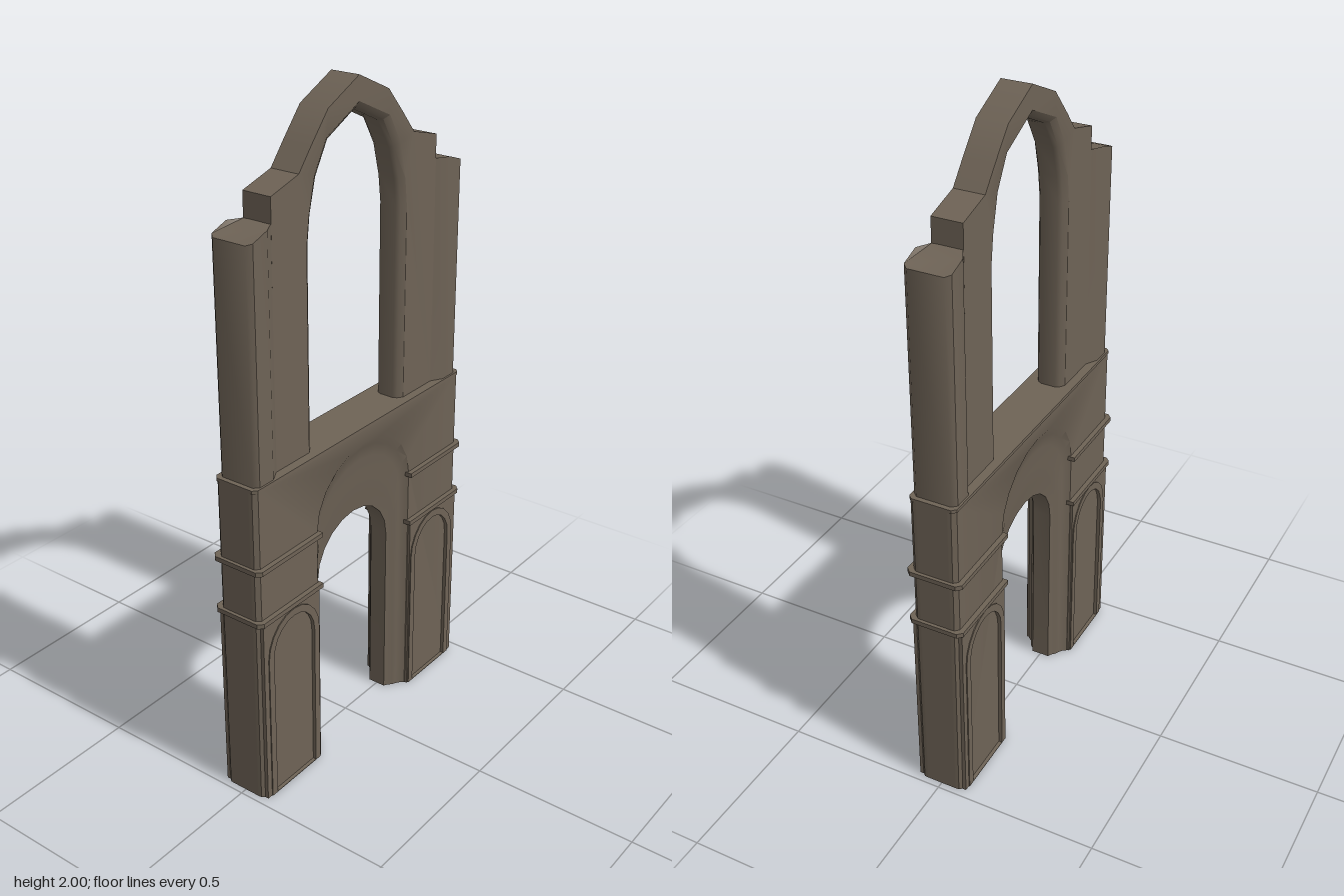
import * as THREE from 'three';
import { toCreasedNormals } from 'three/addons/utils/BufferGeometryUtils.js';

const stone = new THREE.MeshStandardMaterial({ color: 0x6e6356, roughness: 0.9 });

function add(parent, name, geometry, crease = 0.6) {
  const mesh = new THREE.Mesh(toCreasedNormals(geometry, crease), stone);
  mesh.name = name;
  parent.add(mesh);
  return mesh;
}

// Joins counter-clockwise outlines, ordered back to front, and caps both ends.
function loft(slices) {
  const n = slices[0].points.length;
  const pos = slices.flatMap(s => s.points.flatMap(([x, y]) => [x, y, s.z]));
  const index = [];
  for (let k = 0; k < slices.length - 1; k++) {
    for (let i = 0; i < n; i++) {
      const a = k * n + i, b = k * n + (i + 1) % n;
      index.push(a, b, b + n, a, b + n, a + n);
    }
  }
  const cap = (k, flip) => {
    const contour = slices[k].points.map(p => new THREE.Vector2(p[0], p[1]));
    for (const [a, b, c] of THREE.ShapeUtils.triangulateShape(contour, [])) {
      index.push(k * n + a, k * n + (flip ? c : b), k * n + (flip ? b : c));
    }
  };
  cap(0, true);
  cap(slices.length - 1, false);
  const g = new THREE.BufferGeometry();
  g.setAttribute('position', new THREE.Float32BufferAttribute(pos, 3));
  g.setIndex(index);
  return g;
}

// Repeats the front half of a set of slices on the back.
function symmetric(specs, outline) {
  const front = specs.map(s => ({ z: s.z, points: outline(s) }));
  const back = front.map(s => ({ z: -s.z, points: s.points })).reverse();
  return loft([...back, ...front]);
}

// Wall outline with a round arched doorway.
function gateOutline({ X, w, spring, top }) {
  const pts = [[X, 0], [X, 1.01], [-X, 1.01], [-X, 0], [-w, 0]];
  for (let i = 0; i <= 10; i++) {
    const a = Math.PI * (1 - i / 10);
    pts.push([w * Math.cos(a), spring + (top - spring) * Math.sin(a)]);
  }
  pts.push([w, 0]);
  return pts;
}

// Stepped wall outline with a pointed window, widened by d.
function windowOutline({ d }) {
  const outer = [[0.365, 1.0], [0.36, 1.77], [0.25, 1.8], [0.2, 1.86], [0.13, 1.94]];
  const inner = [[0.2, 1.0], [0.2, 1.6], [0.19, 1.68], [0.165, 1.77], [0.115, 1.855]]
    .map(([x, y]) => [x + d, y > 1.7 ? y + d * 0.6 : y]);
  const flip = p => [-p[0], p[1]];
  return [
    ...outer, [0, 2], ...outer.map(flip).reverse(),
    ...inner.map(flip), [0, 1.91 + d], ...inner.slice().reverse(),
  ];
}

// Tall arched panel shape centred on a pier.
function panelPath(Type, half, bottom, top) {
  const cx = 0.342, spring = 0.47;
  const p = new Type();
  p.moveTo(cx - half, bottom);
  p.lineTo(cx + half, bottom);
  for (let i = 0; i <= 10; i++) {
    const a = Math.PI * i / 10;
    p.lineTo(cx + half * Math.cos(a), spring + (top - spring) * Math.sin(a));
  }
  p.closePath();
  return p;
}

function extrude(shape, depth, z) {
  return new THREE.ExtrudeGeometry(shape, { depth, bevelEnabled: false }).translate(0, 0, z);
}

// Extrudes a plan of [x, z] corners upward from y.
function prism(plan, y, height) {
  const shape = new THREE.Shape(plan.map(([x, z]) => new THREE.Vector2(x, -z)));
  return new THREE.ExtrudeGeometry(shape, { depth: height, bevelEnabled: false })
    .rotateX(-Math.PI / 2).translate(0, y, 0);
}

// Plan symmetric in z, given its front edge from the inside out.
const mirrorPlan = half => [...half, ...half.map(([x, z]) => [x, -z]).reverse()];

// Parts of the +x pier; the other one is this turned half way round.
function createPier() {
  const pier = new THREE.Group();

  // Arched panels on both faces
  const plate = new THREE.Shape([[0.225, 0], [0.472, 0], [0.472, 0.6], [0.225, 0.6]]
    .map(p => new THREE.Vector2(...p)));
  plate.holes.push(panelPath(THREE.Path, 0.1, 0.002, 0.575));
  const frame = panelPath(THREE.Shape, 0.112, 0, 0.588);
  frame.holes.push(panelPath(THREE.Path, 0.09, 0.002, 0.565));
  for (const [side, z] of [['front', 0.067], ['back', -0.078]]) {
    add(pier, side + 'PierFace', extrude(plate, 0.011, z));
    add(pier, side + 'PanelFrame', extrude(frame, 0.014, side === 'front' ? 0.067 : -0.081));
  }

  // Projecting string courses
  const course = mirrorPlan([[0.215, 0.085], [0.476, 0.085], [0.49, 0.071]]);
  for (const y of [0.594, 0.759]) add(pier, 'stringCourse', prism(course, y, 0.014));

  // Broken buttress shaft with a sloping top
  const shaftPlan = mirrorPlan([[0.355, 0.043], [0.365, 0.046], [0.4, 0.066],
    [0.455, 0.066], [0.468, 0.052]]);
  const shaft = prism(shaftPlan, 1.0, 0.7);
  const p = shaft.attributes.position;
  for (let i = 0; i < p.count; i++) {
    if (p.getY(i) > 1.5) p.setY(i, 1.7 - 0.35 * Math.max(0, p.getX(i) - 0.4));
  }
  add(pier, 'buttressShaft', shaft, 0.8);
  return pier;
}

export function createModel() {
  const model = new THREE.Group();
  model.name = 'ruinedArchway';

  // Gate wall with a coved doorway stepping inward
  add(model, 'gateWall', symmetric([
    { z: 0.028, X: 0.48, w: 0.168, spring: 0.57, top: 0.725 },
    { z: 0.036, X: 0.48, w: 0.182, spring: 0.62, top: 0.78 },
    { z: 0.045, X: 0.48, w: 0.19, spring: 0.66, top: 0.84 },
    { z: 0.05, X: 0.48, w: 0.202, spring: 0.72, top: 0.9 },
    { z: 0.058, X: 0.479, w: 0.213, spring: 0.75, top: 0.94 },
    { z: 0.07, X: 0.468, w: 0.222, spring: 0.77, top: 0.963 },
  ], gateOutline));

  // Thin coping on top of the gate wall
  const coping = mirrorPlan([[-0.482, 0.06], [-0.47, 0.072], [0.47, 0.072], [0.482, 0.06]]);
  add(model, 'coping', prism(coping, 1.004, 0.01));

  // Upper wall with a splayed pointed window
  add(model, 'windowWall', symmetric([
    { z: 0.022, d: 0 },
    { z: 0.034, d: 0.006 },
    { z: 0.045, d: 0.022 },
  ], windowOutline));

  const left = createPier();
  left.name = 'leftPier';
  const right = createPier();
  right.name = 'rightPier';
  right.rotation.y = Math.PI;
  model.add(left, right);
  return model;
}
